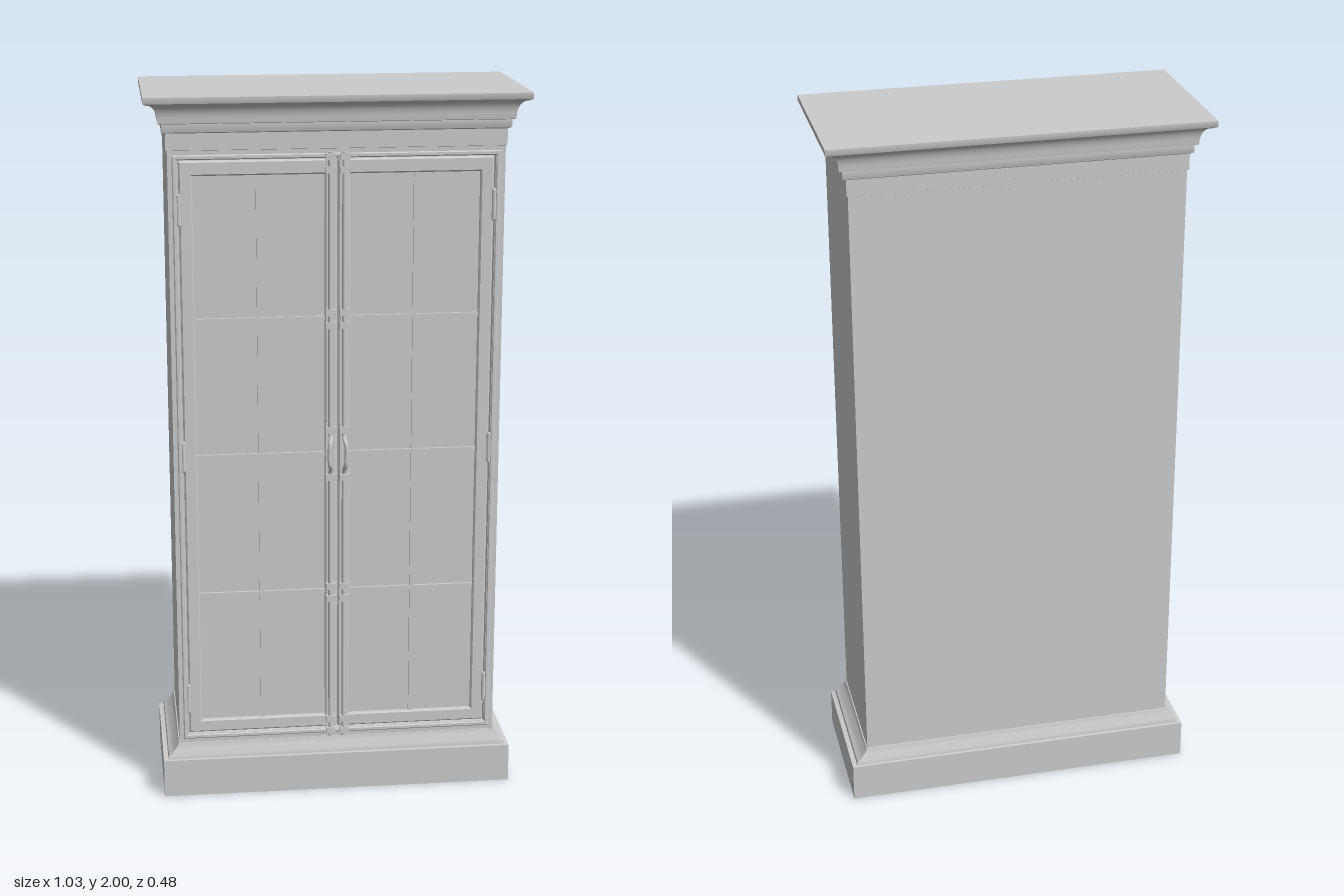
import * as THREE from 'three';
import { toCreasedNormals } from 'three/addons/utils/BufferGeometryUtils.js';

const material = new THREE.MeshStandardMaterial({ color: 0xcccccc });

function add(parent, name, geometry, x = 0, y = 0, z = 0) {
  const mesh = new THREE.Mesh(geometry, material);
  mesh.name = name;
  mesh.position.set(x, y, z);
  parent.add(mesh);
  return mesh;
}

function box(parent, name, w, h, d, x, y, z) {
  return add(parent, name, new THREE.BoxGeometry(w, h, d), x, y, z);
}

// Moulding swept round a rectangle; profile rows are [half width, half depth, y], bottom to top
function moulding(profile) {
  const positions = [], index = [], n = profile.length;
  for (const [x, z, y] of profile) positions.push(x, y, z, x, y, -z, -x, y, -z, -x, y, z);
  for (let i = 0; i < n - 1; i++) {
    for (let k = 0; k < 4; k++) {
      const a = i * 4 + k, b = i * 4 + (k + 1) % 4;
      index.push(a, b, b + 4, a, b + 4, a + 4);
    }
  }
  const t = (n - 1) * 4;
  index.push(0, 2, 1, 0, 3, 2, t, t + 1, t + 2, t, t + 2, t + 3);
  const g = new THREE.BufferGeometry();
  g.setAttribute('position', new THREE.Float32BufferAttribute(positions, 3));
  g.setIndex(index);
  return toCreasedNormals(g, 0.5);
}

// Rectangular frame with a rectangular opening, arguments as [x0, y0, x1, y1]
function frame(outer, inner, depth, bevel = 0) {
  const rect = (path, [x0, y0, x1, y1], o) => path.moveTo(x0 + o, y0 + o)
    .lineTo(x1 - o, y0 + o).lineTo(x1 - o, y1 - o).lineTo(x0 + o, y1 - o).closePath();
  const shape = new THREE.Shape();
  rect(shape, outer, bevel);
  const hole = new THREE.Path();
  rect(hole, inner, -bevel);
  shape.holes.push(hole);
  return new THREE.ExtrudeGeometry(shape, {
    depth: depth - bevel, bevelEnabled: bevel > 0, bevelSize: bevel,
    bevelThickness: bevel, bevelSegments: 1,
  });
}

// One door, built for the +x side and mirrored through side = -1
function buildDoor(side) {
  const door = new THREE.Group();
  door.name = side > 0 ? 'leftDoor' : 'rightDoor';
  const span = (x0, y0, x1, y1) => side > 0 ? [x0, y0, x1, y1] : [-x1, y0, -x0, y1];

  add(door, 'doorFrame', frame(span(0.002, 0.185, 0.424, 1.825), span(0.034, 0.222, 0.388, 1.785), 0.014, 0.004), 0, 0, 0.168);
  box(door, 'glassPane', 0.36, 1.57, 0.004, side * 0.211, 1.003, 0.167);

  // Glazing bars
  box(door, 'verticalBar', 0.011, 1.565, 0.009, side * 0.213, 1.003, 0.172);
  for (const y of [0.6, 1.005, 1.39]) box(door, 'horizontalBar', 0.356, 0.011, 0.01, side * 0.211, y, 0.172);

  // Hinges
  for (const y of [0.29, 1.01, 1.695]) {
    add(door, 'hinge', new THREE.CylinderGeometry(0.006, 0.006, 0.075, 10), side * 0.425, y, 0.184);
    for (const e of [-1, 1]) add(door, 'hingeFinial', new THREE.SphereGeometry(0.006, 10, 6), side * 0.425, y + e * 0.039, 0.184);
  }

  // Locking rods, split around the handle
  const rodX = side * 0.019;
  for (const [y0, y1] of [[0.16, 0.95], [1.06, 1.845]]) {
    add(door, 'lockRod', new THREE.CylinderGeometry(0.007, 0.007, y1 - y0, 12), rodX, (y0 + y1) / 2, 0.188);
  }

  // Rod guides: back plate with a pair of collars
  for (const y of [0.195, 0.6, 1.39, 1.815]) {
    box(door, 'guidePlate', 0.02, 0.066, 0.006, rodX, y, 0.184);
    for (const e of [-1, 1]) {
      box(door, 'guideCollar', 0.027, 0.018, 0.016, rodX, y + e * 0.018, 0.189);
    }
  }

  // Bowed pull handle on its plate
  box(door, 'handlePlate', 0.025, 0.17, 0.006, rodX, 1.008, 0.184);
  const curve = new THREE.CatmullRomCurve3([
    [0.019, 0.95, 0.187], [0.019, 0.965, 0.194], [0.022, 0.978, 0.204], [0.024, 1.008, 0.205],
    [0.022, 1.038, 0.204], [0.019, 1.05, 0.194], [0.019, 1.065, 0.187],
  ].map(([x, y, z]) => new THREE.Vector3(side * x, y, z)));
  add(door, 'handle', new THREE.TubeGeometry(curve, 28, 0.006, 10));
  for (const y of [0.94, 1.076]) box(door, 'handleCollar', 0.027, 0.018, 0.016, rodX, y, 0.189);
  return door;
}

export function createModel() {
  const cabinet = new THREE.Group();
  cabinet.name = 'displayCabinet';

  // Carcass and front face frame
  box(cabinet, 'carcass', 0.906, 1.76, 0.349, 0, 1.0, -0.0095);
  add(cabinet, 'faceFrame', frame([-0.453, 0.12, 0.453, 1.88], [-0.427, 0.182, 0.427, 1.828], 0.022), 0, 0, 0.164);
  add(cabinet, 'frameBead', frame([-0.441, 0.168, 0.441, 1.842], [-0.428, 0.181, 0.428, 1.829], 0.007, 0.003), 0, 0, 0.182);

  // Plinth with stepped moulding
  add(cabinet, 'plinth', moulding([
    [0.5, 0.206, 0], [0.5, 0.206, 0.11], [0.487, 0.2, 0.112], [0.485, 0.199, 0.122],
    [0.475, 0.196, 0.128], [0.468, 0.193, 0.138], [0.46, 0.189, 0.146], [0.456, 0.187, 0.157], [0.45, 0.184, 0.158],
  ]));

  // Crown: frieze, bead, cove and top slab
  const crown = [
    [0.45, 0.184, 1.853], [0.457, 0.189, 1.855], [0.457, 0.189, 1.9], [0.465, 0.194, 1.903], [0.467, 0.196, 1.908],
    [0.467, 0.196, 1.925], [0.476, 0.202, 1.927],
  ];
  for (let i = 0; i <= 7; i++) {
    const a = i / 7 * Math.PI / 2, out = 1 - Math.cos(a), up = Math.sin(a);
    crown.push([0.477 + 0.027 * out, 0.203 + 0.025 * out, 1.933 + 0.045 * up]);
  }
  crown.push([0.514, 0.237, 1.983], [0.515, 0.238, 1.985], [0.515, 0.238, 2]);
  add(cabinet, 'crown', moulding(crown));

  for (const side of [-1, 1]) cabinet.add(buildDoor(side));
  return cabinet;
}
